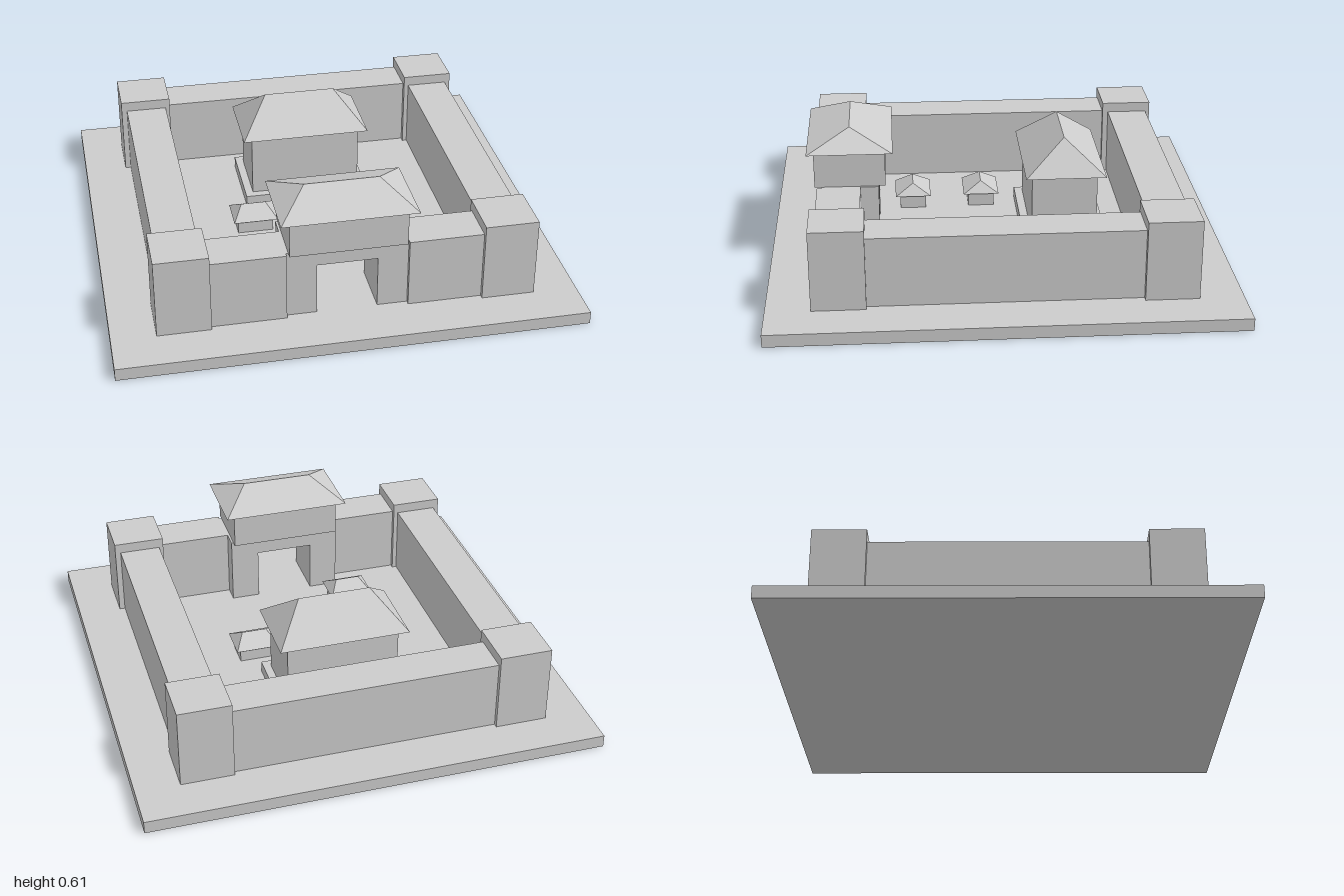
import * as THREE from 'three';

export function createModel() {
  const group = new THREE.Group();
  const stone = new THREE.MeshStandardMaterial({ color: 0xcccccc });
  stone.name = 'paleStone';

  const add = (name, geometry, parent = group) => {
    const mesh = new THREE.Mesh(geometry, stone);
    mesh.name = name;
    parent.add(mesh);
    return mesh;
  };

  // Box given by its extents along each axis
  const block = (name, [x0, x1], [y0, y1], [z0, z1], parent) => {
    const mesh = add(name, new THREE.BoxGeometry(x1 - x0, y1 - y0, z1 - z0), parent);
    mesh.position.set((x0 + x1) / 2, (y0 + y1) / 2, (z0 + z1) / 2);
    return mesh;
  };

  // Hip roof: a box whose top is pinched into a ridge along x
  const hipRoof = (name, halfX, halfZ, ridge, y0, y1, x, z, parent) => {
    const box = new THREE.BoxGeometry(2 * halfX, y1 - y0, 2 * halfZ);
    const p = box.attributes.position;
    for (let i = 0; i < p.count; i++) {
      if (p.getY(i) > 0) p.setXYZ(i, Math.sign(p.getX(i)) * ridge, p.getY(i), 0);
    }
    const geometry = box.toNonIndexed();
    geometry.computeVertexNormals();
    add(name, geometry, parent).position.set(x, (y0 + y1) / 2, z);
  };

  const subgroup = (name) => {
    const g = new THREE.Group();
    g.name = name;
    group.add(g);
    return g;
  };

  const ground = 0.055;
  const wallTop = 0.365;
  block('basePlate', [-1, 1], [0, ground], [-1, 1]);

  // Enclosing walls and corner towers
  const wallY = [ground, wallTop];
  block('backWall', [-0.58, 0.58], wallY, [-0.79, -0.605]);
  for (const s of [-1, 1]) {
    const span = (a, b) => (s > 0 ? [a, b] : [-b, -a]);
    block('sideWall', span(0.6, 0.785), wallY, [-0.58, 0.58]);
    block('frontWall', span(0.26, 0.58), wallY, [0.6, 0.79]);
    for (const z of [[-0.81, -0.58], [0.58, 0.81]]) {
      block('cornerTower', span(0.58, 0.81), [ground, 0.41], z);
    }
  }

  // Gatehouse with a passage below the upper hall
  const gate = subgroup('gatehouse');
  const gateZ = [0.52, 0.77];
  block('gatePier', [-0.26, -0.13], wallY, gateZ, gate);
  block('gatePier', [0.13, 0.26], wallY, gateZ, gate);
  block('gateLintel', [-0.13, 0.13], [0.29, wallTop], gateZ, gate);
  block('gateHall', [-0.25, 0.25], [wallTop, 0.52], [0.49, 0.8], gate);
  hipRoof('gateRoof', 0.29, 0.187, 0.16, 0.53, 0.61, 0, 0.643, gate);

  // Main hall on its terrace
  const hall = subgroup('mainHall');
  block('terrace', [-0.285, 0.285], [ground, 0.105], [-0.492, -0.118], hall);
  block('hallBody', [-0.25, 0.25], [0.105, 0.38], [-0.445, -0.155], hall);
  hipRoof('hallRoof', 0.29, 0.178, 0.16, 0.39, 0.535, 0, -0.303, hall);

  // Small courtyard houses
  for (const [x, z] of [[-0.28, 0.045], [0.276, 0.045], [-0.272, 0.365]]) {
    const house = subgroup('courtyardHouse');
    block('houseBody', [x - 0.08, x + 0.08], [ground, 0.115], [z - 0.06, z + 0.06], house);
    hipRoof('houseRoof', 0.1, 0.082, 0.055, 0.12, 0.17, x, z, house);
  }

  return group;
}
